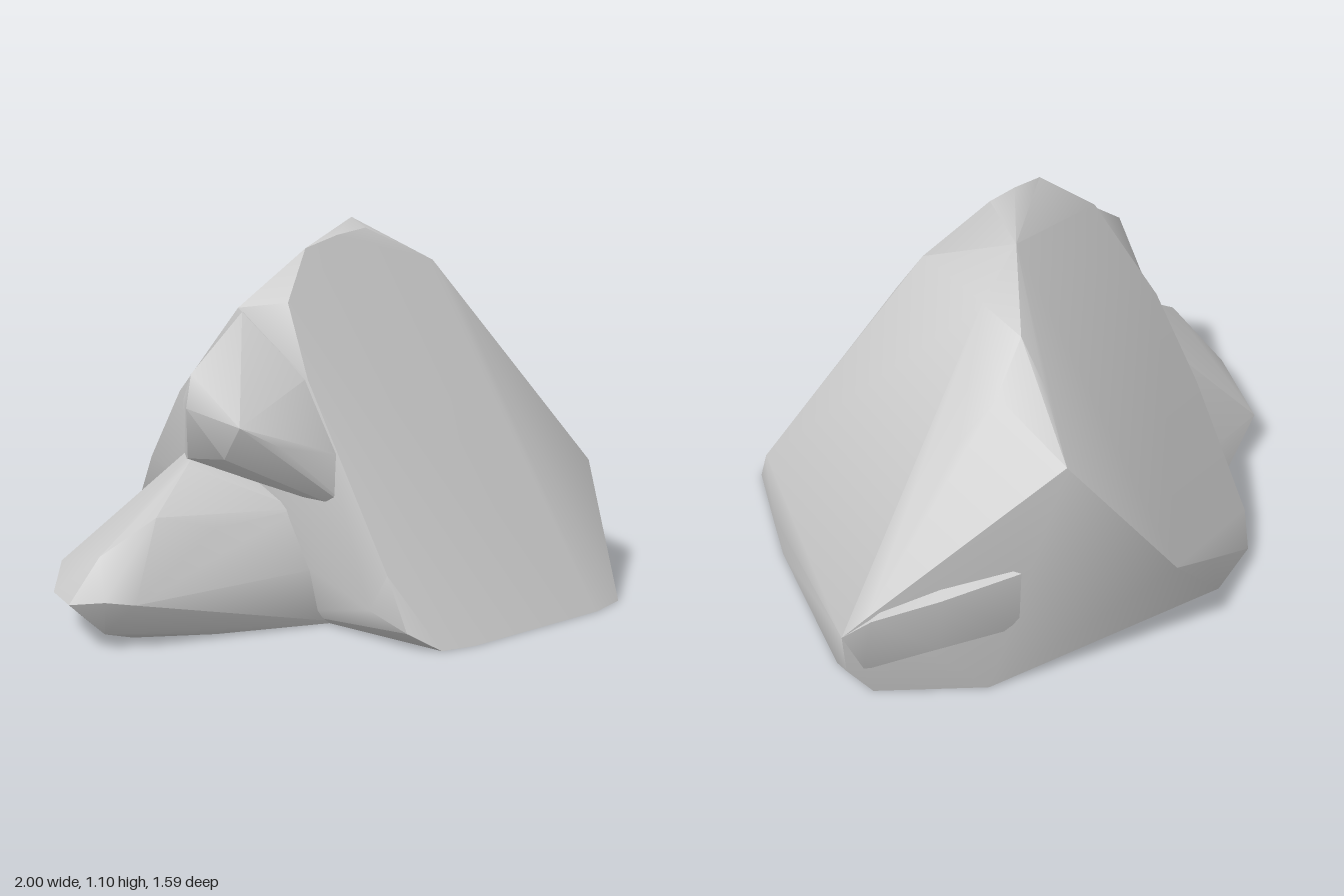
import * as THREE from 'three';
import { ConvexGeometry } from 'three/addons/geometries/ConvexGeometry.js';
import { toCreasedNormals } from 'three/addons/utils/BufferGeometryUtils.js';

const stone = new THREE.MeshStandardMaterial({ color: 0xcacaca });
stone.name = 'greyStone';

// A faceted chunk of rock: the hull of its corners, with shallow edges smoothed
function chunk(name, corners) {
  const points = corners.map((c) => new THREE.Vector3(...c));
  const geometry = toCreasedNormals(new ConvexGeometry(points), 0.75);
  const mesh = new THREE.Mesh(geometry, stone);
  mesh.name = name;
  return mesh;
}

export function createModel() {
  const rock = new THREE.Group();
  rock.name = 'rock';

  rock.add(chunk('mainBoulder', [
    // footprint
    [-0.2, 0, 0.55], [-0.2, 0, 0.77], [-0.1, 0, 0.79], [0.4, 0, 0.76], [0.53, 0, 0.72],
    [0.65, 0, 0.5], [0.73, 0, 0.35], [0.92, 0, -0.14], [0.92, 0, -0.3], [0.68, 0, -0.52],
    [-0.1, 0, -0.71], [-0.26, 0, -0.66], [-0.33, 0, 0.2],
    // left edge of the front slope
    [-0.28, 0.05, 0.72], [-0.33, 0.1, 0.62], [-0.3, 0.2, 0.66], [-0.33, 0.5, 0.48],
    [-0.35, 0.7, 0.37], [-0.33, 0.9, 0.25],
    // crest
    [-0.2, 1.04, 0.155], [-0.06, 1.07, 0.12], [0.07, 1.085, 0.09], [0.21, 1.1, -0.16],
    [0.3, 0.98, 0.13], [0.38, 1.0, -0.2], [0.38, 0.96, -0.35],
    // left edge of the back slope
    [-0.41, 0.88, 0.12], [-0.47, 0.62, -0.1], [-0.45, 0.39, -0.3], [-0.35, 0.1, -0.6],
    // back rim
    [-0.26, 0.05, -0.69], [0, 0.2, -0.75], [0.22, 0.33, -0.8],
    [0.48, 0.72, -0.62], [0.4, 0.86, -0.46],
    // right shoulder
    [0.36, 0.88, 0.18], [0.5, 0.84, -0.38], [0.6, 0.73, -0.34],
    [0.78, 0.5, -0.36], [0.95, 0.31, -0.33], [1, 0.24, -0.28], [0.985, 0.1, -0.27],
    [0.72, 0.35, 0.4], [0.72, 0.12, 0.39],
  ]));

  rock.add(chunk('backCornerLobe', [
    [0.95, 0.31, -0.35], [1, 0.24, -0.28], [0.8, 0.36, -0.465], [0.6, 0.4, -0.57],
    [0.8, 0.18, -0.45], [0.6, 0.2, -0.56], [0.95, 0.1, -0.3], [0.7, 0.42, -0.35],
    [0.5, 0.3, -0.4],
  ]));

  rock.add(chunk('lowSideLobe', [
    // footprint
    [-0.8, 0, 0.17], [-0.82, 0, -0.06], [-0.74, 0, -0.24], [-0.57, 0, -0.32], [-0.23, 0, -0.5],
    [-0.25, 0, 0.4], [-0.42, 0, 0.33], [-0.6, 0, 0.28],
    // low back rim
    [-1, 0.13, 0.18], [-0.94, 0.11, -0.02], [-0.76, 0.11, -0.31], [-0.6, 0.15, -0.33],
    [-0.4, 0.2, -0.41],
    // rounded front face
    [-0.91, 0.04, 0.21], [-0.93, 0.14, 0.25], [-0.86, 0.13, 0.29], [-0.59, 0.15, 0.34],
    [-0.3, 0.17, 0.4],
    // ridge running up into the boulder
    [-0.91, 0.25, 0.19], [-0.75, 0.34, 0.22], [-0.6, 0.3, 0.28], [-0.6, 0.45, 0.14],
    [-0.35, 0.33, 0.33], [-0.45, 0.5, 0],
  ]));

  rock.add(chunk('overhangingLedge', [
    [-0.62, 0.72, 0.2], [-0.65, 0.63, 0.22], [-0.61, 0.6, 0.42], [-0.6, 0.5, 0.33],
    [-0.48, 0.77, 0.2], [-0.41, 0.87, 0.14], [-0.35, 0.7, 0.36], [-0.5, 0.54, 0.45],
    [-0.31, 0.5, 0.48], [-0.27, 0.33, 0.5], [-0.3, 0.35, 0.2], [-0.2, 0.8, 0.1],
    [-0.47, 0.6, -0.08], [-0.59, 0.47, 0.13], [-0.47, 0.42, -0.08],
  ]));

  return rock;
}
